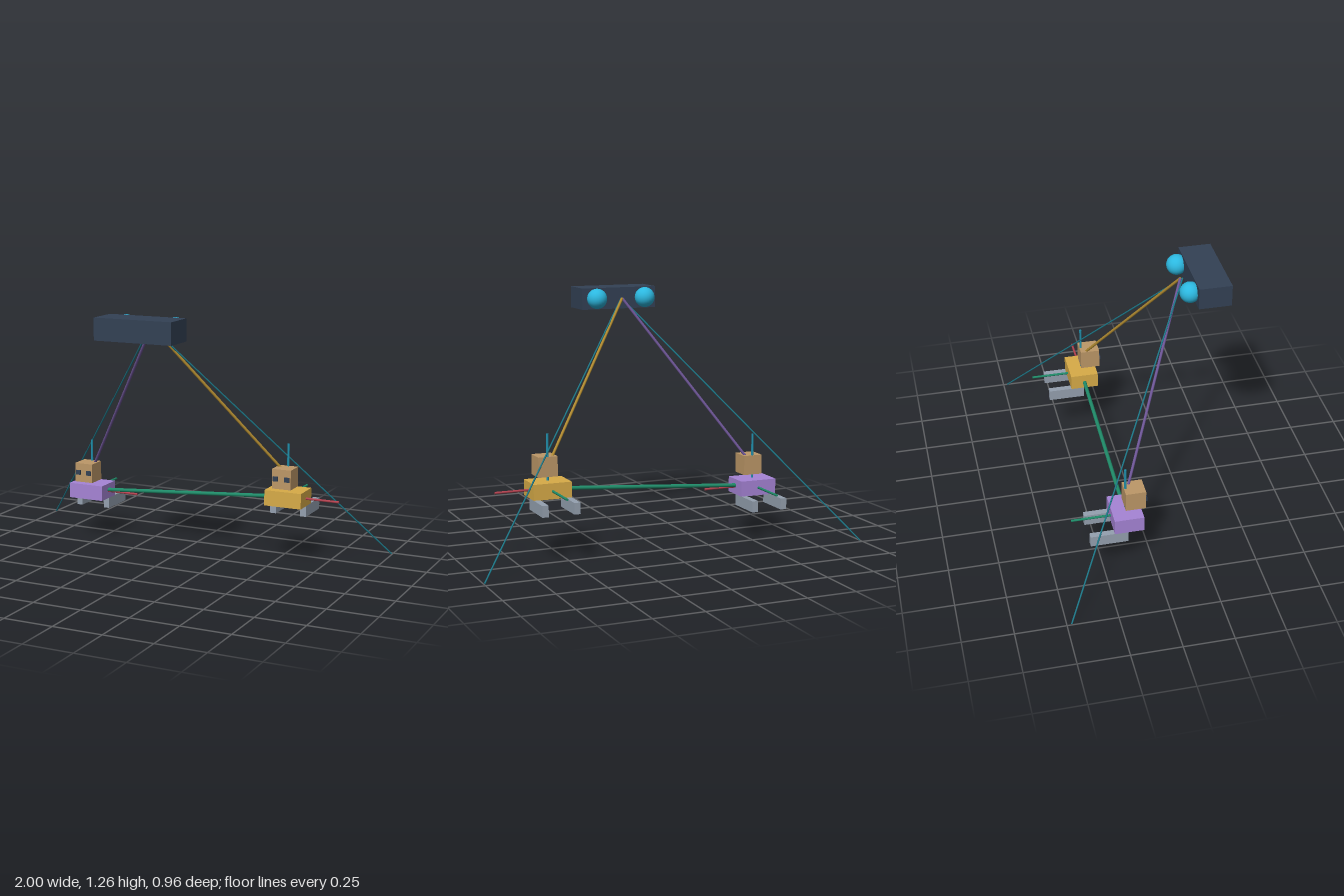
import * as THREE from 'three';

const mat = (color) => new THREE.MeshStandardMaterial({ color });
const MAT = {
  camera: mat(0x334155), lens: mat(0x2cb8e0), purple: mat(0xa684d6), yellow: mat(0xd8ac48),
  head: mat(0xbd9868), eye: mat(0x334155), leg: mat(0x95a1b0),
  red: mat(0xb0414f), cyan: mat(0x2090ad), green: mat(0x1f8a68), edge: mat(0x1c7585),
  purpleRay: mat(0x6d5596), yellowRay: mat(0xb08a30),
};

function add(parent, name, geometry, material, x = 0, y = 0, z = 0) {
  const mesh = new THREE.Mesh(geometry, material);
  mesh.name = name;
  mesh.position.set(x, y, z);
  parent.add(mesh);
  return mesh;
}

const box = (w, h, d) => new THREE.BoxGeometry(w, h, d);

// Thin round rod between two points
function rod(parent, name, from, to, radius, material) {
  const a = new THREE.Vector3(...from), b = new THREE.Vector3(...to);
  const dir = b.clone().sub(a);
  const mesh = add(parent, name, new THREE.CylinderGeometry(radius, radius, dir.length(), 12), material);
  mesh.position.copy(a).add(b).multiplyScalar(0.5);
  mesh.quaternion.setFromUnitVectors(new THREE.Vector3(0, 1, 0), dir.normalize());
}

// Seated block figure with its three axis rods, origin at the torso centre
function figure(name, material) {
  const g = new THREE.Group();
  g.name = name;
  add(g, 'torso', box(0.195, 0.079, 0.146), material);
  add(g, 'head', box(0.1, 0.1, 0.1), MAT.head, 0, 0.107, 0.042);
  for (const s of [-1, 1]) {
    add(g, s > 0 ? 'leftEye' : 'rightEye', box(0.026, 0.024, 0.014), MAT.eye, s * 0.031, 0.108, 0.092);
    add(g, s > 0 ? 'leftLeg' : 'rightLeg', box(0.032, 0.057, 0.188), MAT.leg, s * 0.081, -0.067, -0.099);
  }
  rod(g, 'sideAxis', [0, 0, 0], [0.27, 0, 0], 0.006, MAT.red);
  rod(g, 'upAxis', [0, 0, 0], [0, 0.27, 0], 0.006, MAT.cyan);
  rod(g, 'backAxis', [0, 0, 0], [0, 0, -0.27], 0.006, MAT.green);
  return g;
}

export function createModel() {
  const model = new THREE.Group();
  model.name = 'cameraRig';

  // Stereo camera with two lenses on its back
  const camera = new THREE.Group();
  camera.name = 'stereoCamera';
  add(camera, 'cameraBody', box(0.41, 0.11, 0.164), MAT.camera, 0, 1.21, 0.398);
  for (const s of [-1, 1])
    add(camera, s > 0 ? 'leftLens' : 'rightLens', new THREE.SphereGeometry(0.052, 24, 16), MAT.lens, s * 0.133, 1.212, 0.29);
  model.add(camera);

  // The two figures, each with a sight line to the camera and an outer view edge
  const sides = [
    { s: -1, y: 0.257, name: 'rightFigure', body: MAT.purple, ray: MAT.purpleRay },
    { s: 1, y: 0.338, name: 'leftFigure', body: MAT.yellow, ray: MAT.yellowRay },
  ];
  for (const { s, y, name, body, ray } of sides) {
    const f = figure(name, body);
    f.position.set(s * 0.56, y, -0.122);
    model.add(f);
    rod(model, 'sightLine', [0, 1.212, 0.275], [s * 0.56, y + 0.107, -0.122], 0.007, ray);
    rod(model, 'viewEdge', [0, 1.212, 0.287], [s * 0.997, 0.003, -0.477], 0.004, MAT.edge);
  }

  // Link between the figures
  rod(model, 'baseline', [-0.56, 0.257, -0.122], [0.56, 0.338, -0.122], 0.01, MAT.green);
  return model;
}
